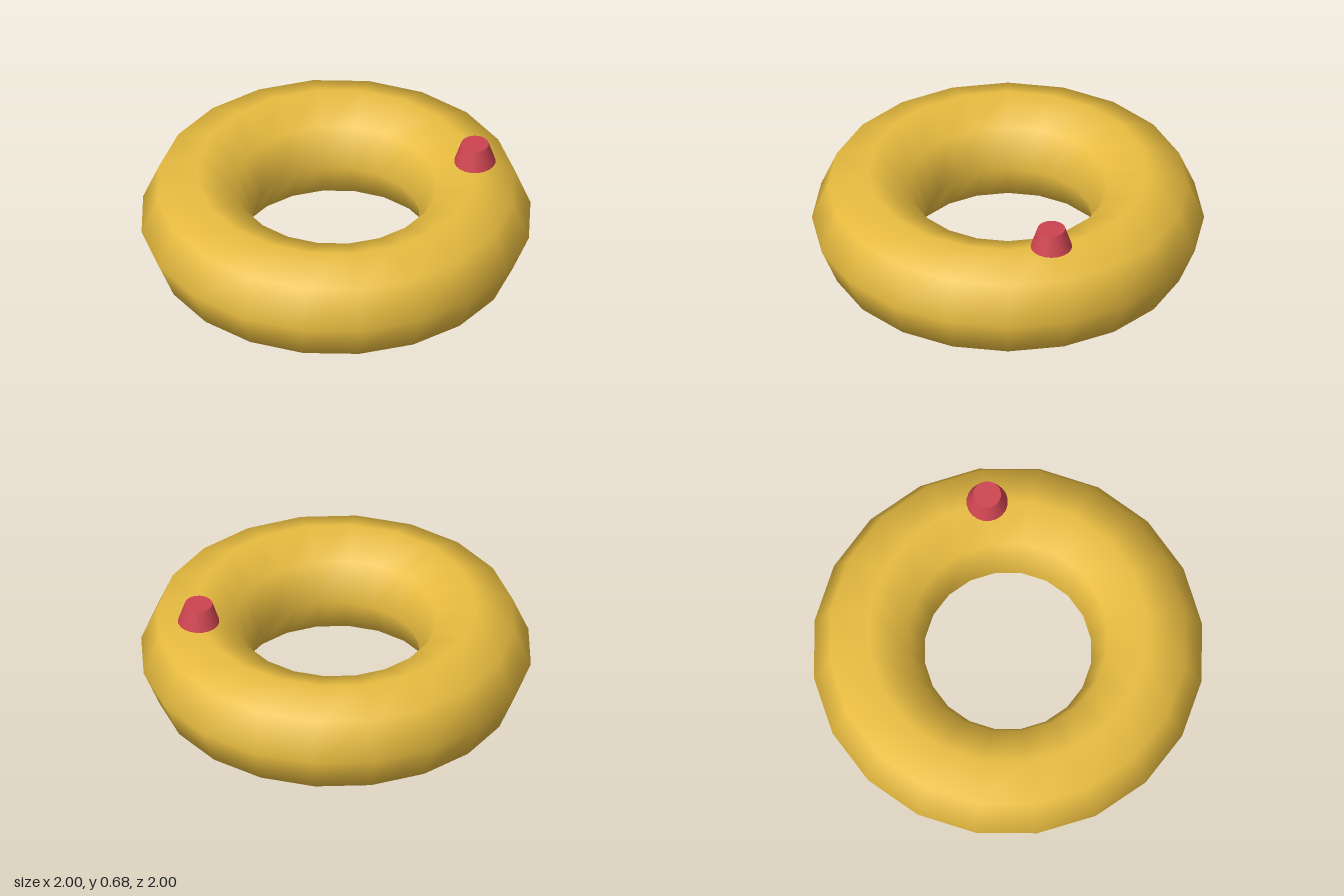
import * as THREE from 'three';

const RING = 0.714; // centre line radius
const TUBE = 0.286; // tube radius
const VALVE_HEIGHT = 0.108;

function addPart(group, name, geometry, color, x, y) {
  const mesh = new THREE.Mesh(geometry, new THREE.MeshStandardMaterial({ color }));
  mesh.name = name;
  mesh.position.set(x, y, 0);
  group.add(mesh);
}

export function createModel() {
  const group = new THREE.Group();
  group.name = 'swimRing';

  // Inflated ring lying flat, eight-sided tube with smooth shading
  const ring = new THREE.TorusGeometry(RING, TUBE, 8, 20).rotateX(Math.PI / 2);
  addPart(group, 'inflatedRing', ring, 0xe8bc40, 0, TUBE);

  // Tapered valve standing on the crest of the ring's left side
  const valve = new THREE.CylinderGeometry(0.071, 0.106, VALVE_HEIGHT, 20);
  addPart(group, 'valve', valve, 0xcc4450, RING, 2 * TUBE + VALVE_HEIGHT / 2);

  return group;
}
